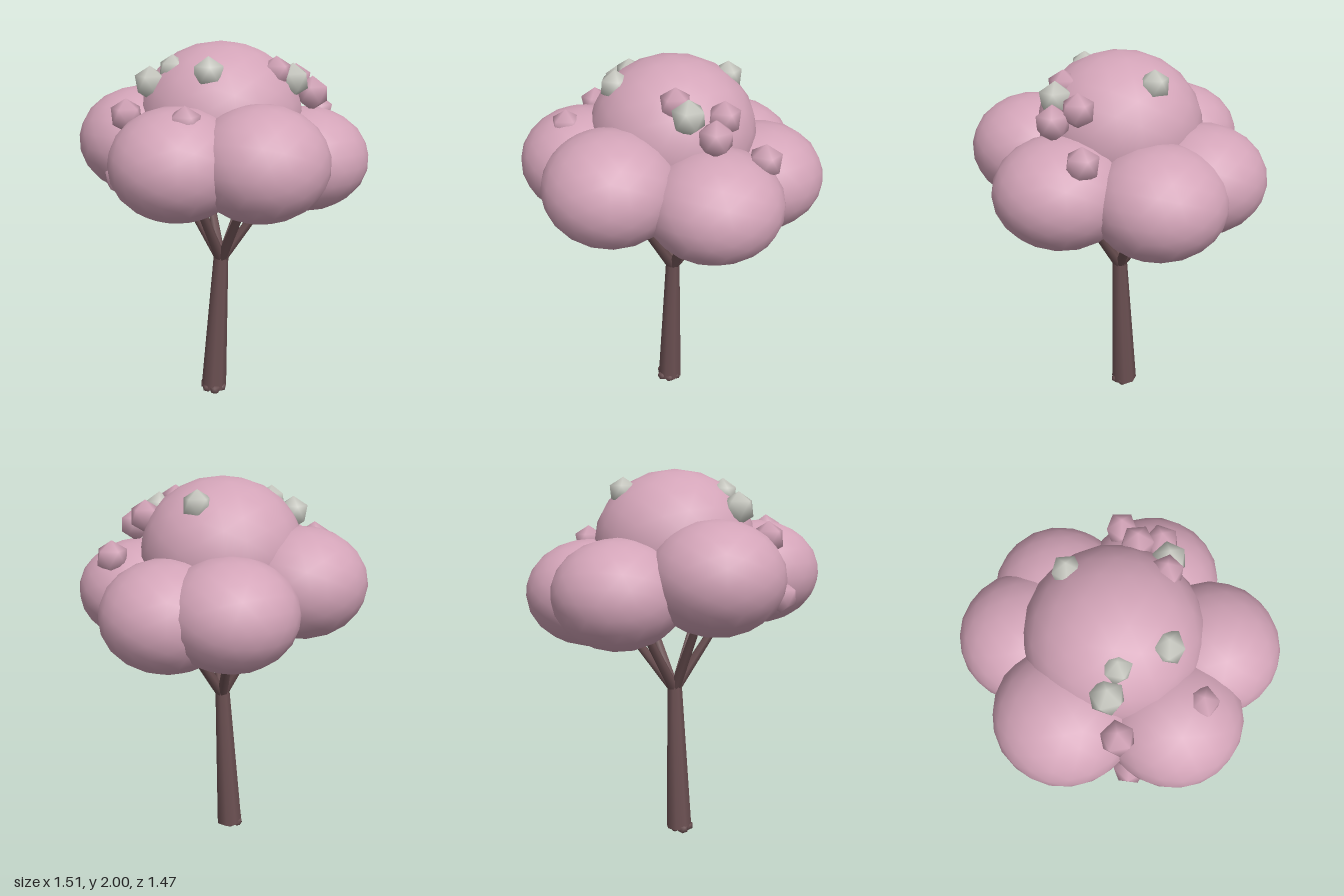
import * as THREE from 'three';

const material = (name, color, flatShading = false) => {
  const m = new THREE.MeshStandardMaterial({ color, flatShading });
  m.name = name;
  return m;
};

// Smooth-shaded icosahedron with one corner pointing straight up
function blossomGeometry() {
  const g = new THREE.IcosahedronGeometry(1, 0);
  g.rotateZ(-0.5536);
  g.setAttribute('normal', g.getAttribute('position').clone());
  return g;
}

// Smooth tapered tube between two points
function limb(from, to, r0, r1, sides) {
  const a = new THREE.Vector3(...from), b = new THREE.Vector3(...to);
  const dir = b.clone().sub(a);
  const g = new THREE.CylinderGeometry(r1, r0, dir.length(), sides);
  g.applyQuaternion(new THREE.Quaternion().setFromUnitVectors(new THREE.Vector3(0, 1, 0), dir.normalize()));
  g.translate((a.x + b.x) / 2, (a.y + b.y) / 2, (a.z + b.z) / 2);
  return g;
}

export function createModel() {
  const tree = new THREE.Group();
  tree.name = 'blossomTree';
  const pink = material('blossomPink', 0xd3a4b8);
  const white = material('blossomWhite', 0xcbccc4);
  const bark = material('bark', 0x6b5052);

  const add = (name, geometry, mat, pos = [0, 0, 0], scale = [1, 1, 1]) => {
    const mesh = new THREE.Mesh(geometry, mat);
    mesh.name = name;
    mesh.position.set(...pos);
    mesh.scale.set(...scale);
    tree.add(mesh);
    return mesh;
  };

  // Leaning trunk
  add('trunk', limb([-0.053, 0.03, 0.003], [-0.01, 0.86, 0], 0.072, 0.04, 8), bark);

  // Root lumps around the foot
  const small = blossomGeometry();
  for (let i = 0; i < 6; i++) {
    const a = (i / 6) * Math.PI * 2 + 0.3;
    const r = 0.03 + 0.004 * (i % 2);
    add('root', small, bark, [-0.053 + 0.048 * Math.cos(a), 0.034, 0.012 + 0.043 * Math.sin(a)], [r, r, r])
      .rotation.y = i;
  }

  // Branches fanning out into the crown
  const fan = [
    [-0.21, 1.2, 0], [0.23, 1.18, -0.01],
    [-0.1, 1.21, 0.225], [0.12, 1.21, 0.225],
    [-0.1, 1.15, -0.21], [0.1, 1.15, -0.21],
  ];
  const fork = new THREE.Vector3(-0.01, 0.83, 0);
  for (const p of fan) {
    const tip = fork.clone().lerp(new THREE.Vector3(...p), 1.3);
    add('branch', limb(fork.toArray(), tip.toArray(), 0.03, 0.02, 6), bark);
  }

  // Crown: one cap and a ring of six puffs (position, radius, half height)
  const puff = new THREE.IcosahedronGeometry(1, 3);
  const puffs = [
    [-0.01, 1.62, 0, 0.42, 0.38],
    [-0.42, 1.49, -0.02, 0.335, 0.28],
    [0.42, 1.405, -0.035, 0.335, 0.27],
    [-0.175, 1.47, 0.41, 0.328, 0.272],
    [0.215, 1.48, 0.4, 0.328, 0.277],
    [-0.16, 1.41, -0.41, 0.328, 0.272],
    [0.15, 1.38, -0.41, 0.333, 0.275],
  ];
  puffs.forEach(([x, y, z, r, h], i) => {
    add(i ? 'crownPuff' : 'crownCap', puff, pink, [x, y, z], [r, h, r]).rotation.y = i * 1.1;
  });

  // Small blossoms set into the crown
  const blossoms = (name, mat, spots) => spots.forEach(([x, y, z, r], i) => {
    add(name, small, mat, [x, y, z], [r, r, r]).rotation.y = i * 0.8;
  });
  blossoms('whiteBlossom', white, [
    [0.04, 1.885, -0.27, 0.076], [-0.34, 1.81, 0.16, 0.083], [-0.23, 1.875, 0.145, 0.072],
    [-0.04, 1.875, 0.28, 0.08], [0.35, 1.82, 0.07, 0.085],
  ]);
  blossoms('pinkBlossom', pink, [
    [0.365, 1.8, -0.1, 0.083], [0.45, 1.745, -0.02, 0.087], [0.27, 1.86, 0.1, 0.08],
    [0.49, 1.615, -0.255, 0.085], [-0.44, 1.67, 0.27, 0.083], [-0.12, 1.685, 0.51, 0.08],
    [-0.46, 1.38, 0.35, 0.085],
  ]);

  return tree;
}
